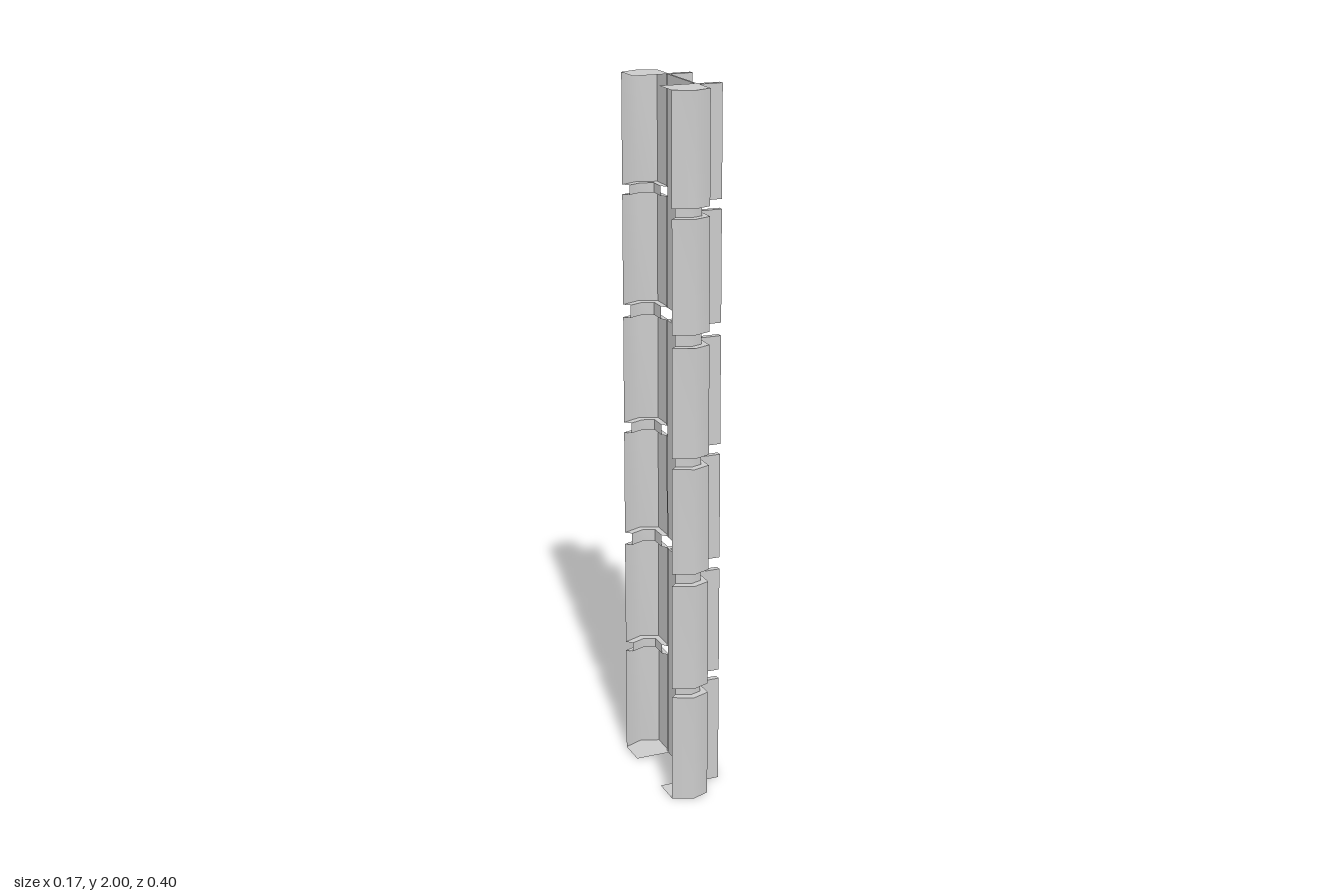
import * as THREE from 'three';
import { toCreasedNormals } from 'three/addons/utils/BufferGeometryUtils.js';

const material = new THREE.MeshStandardMaterial({ color: 0xcccccc, side: THREE.DoubleSide });

// Heights of the six rail panels and the three web plates
const panels = [[0, 0.313], [0.34, 0.647], [0.682, 0.985], [1.015, 1.322], [1.358, 1.668], [1.695, 2]];
const webs = [[0, 0.647], [0.682, 1.322], [1.358, 2]];

// Cross-sections of the folded sheet as [x, z], full size and at the necks
const outer = [[0.02, 0.092], [0.02, 0.18], [-0.03, 0.2], [-0.086, 0.175]];
const inset = [[0.003, 0.115], [0.003, 0.165], [-0.03, 0.177], [-0.07, 0.16]];

function addMesh(parent, geometry, name) {
  const mesh = new THREE.Mesh(geometry, material);
  mesh.name = name;
  parent.add(mesh);
  return mesh;
}

function addBox(parent, name, [x0, x1], [y0, y1], [z0, z1]) {
  const mesh = addMesh(parent, new THREE.BoxGeometry(x1 - x0, y1 - y0, z1 - z0), name);
  mesh.position.set((x0 + x1) / 2, (y0 + y1) / 2, (z0 + z1) / 2);
}

// Skin a stack of cross-sections; side mirrors it in z
function loft(rows, side) {
  const positions = [], index = [], n = outer.length;
  rows.forEach(([y, profile], r) => {
    profile.forEach(([x, z], i) => {
      positions.push(x, y, z * side);
      if (r && i) {
        const d = r * n + i, c = d - 1, b = d - n, a = b - 1;
        if (side > 0) index.push(a, d, b, a, c, d);
        else index.push(a, b, d, a, d, c);
      }
    });
  });
  const geometry = new THREE.BufferGeometry();
  geometry.setAttribute('position', new THREE.Float32BufferAttribute(positions, 3));
  geometry.setIndex(index);
  return toCreasedNormals(geometry, 0.9);
}

function createRail(side) {
  const rail = new THREE.Group();
  rail.name = side > 0 ? 'frontRail' : 'backRail';

  // Folded sheet, pinched in to a neck between panels
  const rows = [];
  panels.forEach(([bottom, top], i) => {
    if (i) rows.push([bottom, inset]);
    rows.push([bottom, outer], [top, outer]);
    if (i < panels.length - 1) rows.push([top, inset]);
  });
  addMesh(rail, loft(rows, side), 'foldedSheet');

  // Side flange of each panel
  const z = side > 0 ? [0.09, 0.107] : [-0.107, -0.09];
  panels.forEach((span) => addBox(rail, 'flange', [0.016, 0.086], span, z));

  // End plates
  const outline = [...outer, [-0.086, 0.091]];
  const shape = new THREE.Shape(outline.map(([x, pz]) => new THREE.Vector2(x, -pz * side)));
  for (const [y, turn] of [[0, Math.PI / 2], [2, -Math.PI / 2]]) {
    const geometry = new THREE.ShapeGeometry(shape);
    if (y === 0) geometry.scale(1, -1, 1);
    geometry.rotateX(turn);
    // Restore outward winding after the flip
    if (y === 0) {
      geometry.index.array.reverse();
      geometry.computeVertexNormals();
    }
    addMesh(rail, geometry, 'endPlate').position.y = y;
  }
  return rail;
}

export function createModel() {
  const model = new THREE.Group();
  model.name = 'channelPost';
  model.add(createRail(1), createRail(-1));

  // Thin plates joining the two rails
  webs.forEach((span) => addBox(model, 'webPlate', [0.014, 0.02], span, [-0.095, 0.095]));
  return model;
}
